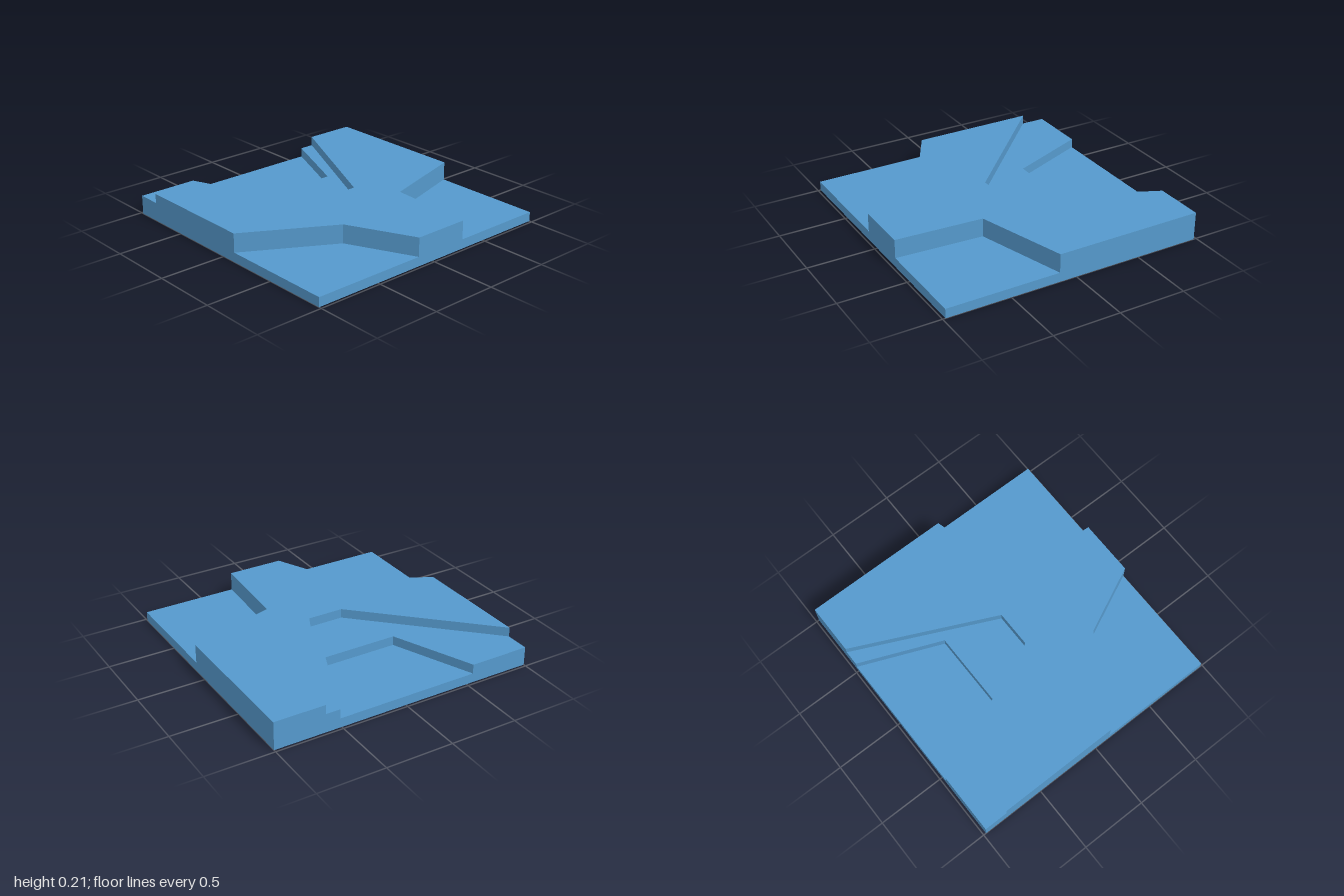
import * as THREE from 'three';

const W = 1, D = 0.98, STEP = 0.07;

export function createModel() {
  const group = new THREE.Group();
  group.name = 'terracedTile';
  const material = new THREE.MeshStandardMaterial({ color: 0x5599cc, flatShading: true });

  // Adds one level, one step thick, from a plan outline of [x, z] points
  function addLevel(name, level, outline) {
    const shape = new THREE.Shape(outline.map(([x, z]) => new THREE.Vector2(x, -z)));
    const geometry = new THREE.ExtrudeGeometry(shape, { depth: STEP, bevelEnabled: false });
    geometry.rotateX(-Math.PI / 2);
    geometry.translate(0, level * STEP, 0);
    const mesh = new THREE.Mesh(geometry, material);
    mesh.name = name;
    group.add(mesh);
  }

  // Front edge shared by the raised levels: low corners on both sides of a tongue
  const frontEdge = [
    [W, 0.13], [0.33, 0.33], [0.29, D],
    [-0.13, D], [-0.36, 0.49], [-W, 0.12],
  ];

  // Full rectangular floor
  addLevel('baseSlab', 0, [[-W, -D], [W, -D], [W, D], [-W, D]]);

  // Middle terrace, with a basin open to the back
  addLevel('middleTerrace', 1, [
    ...frontEdge,
    [-W, -D], [-0.55, -D], [-0.3, -0.375], [0.26, -0.375], [0.51, -D], [W, -D],
  ]);

  // Top terrace, with a wider notch running from the right side to the back
  addLevel('topTerrace', 2, [
    ...frontEdge,
    [-W, -0.8], [-0.13, 0.05], [0.14, 0.05], [0.62, -D], [W, -D],
  ]);

  return group;
}
